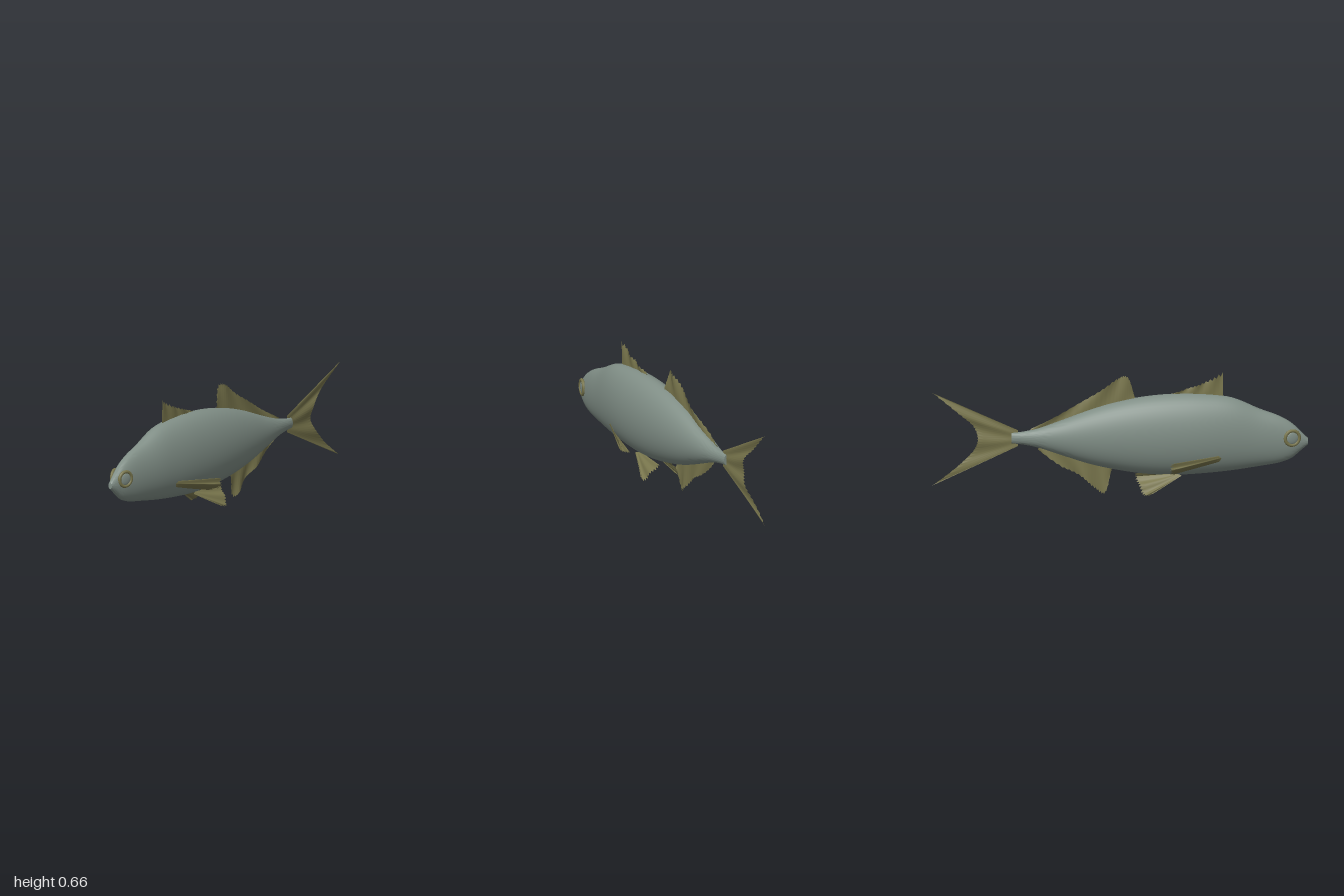
import * as THREE from 'three';
import { toCreasedNormals } from 'three/addons/utils/BufferGeometryUtils.js';

const bodyMat = new THREE.MeshStandardMaterial({ color: 0x808e86 });
bodyMat.name = 'greyGreenSkin';
const finMat = new THREE.MeshStandardMaterial({ color: 0x78754c, side: THREE.DoubleSide });
finMat.name = 'oliveFin';

function add(group, name, geometry, material) {
  const mesh = new THREE.Mesh(geometry, material);
  mesh.name = name;
  group.add(mesh);
  return mesh;
}

// Body stations: x, top, bottom, half width
const stations = [
  [-1.0, 0.295, 0.262, 0.012], [-0.96, 0.335, 0.228, 0.026], [-0.91, 0.382, 0.188, 0.04],
  [-0.84, 0.422, 0.163, 0.053], [-0.74, 0.46, 0.147, 0.07], [-0.6, 0.52, 0.127, 0.093],
  [-0.45, 0.541, 0.113, 0.11], [-0.3, 0.544, 0.106, 0.117], [-0.15, 0.533, 0.113, 0.116],
  [0.0, 0.507, 0.135, 0.107], [0.15, 0.465, 0.169, 0.09], [0.3, 0.41, 0.218, 0.065],
  [0.42, 0.369, 0.259, 0.041], [0.5, 0.35, 0.277, 0.024], [0.57, 0.342, 0.286, 0.014],
];

// Elliptical sections lofted along x by reshaping a cylinder
function bodyGeometry() {
  const [top, bottom, width] = [1, 2, 3].map(
    (k) => new THREE.SplineCurve(stations.map((s) => new THREE.Vector2(s[0], s[k]))));
  const geo = new THREE.CylinderGeometry(1, 1, 1, 48, 70);
  const p = geo.attributes.position;
  for (let i = 0; i < p.count; i++) {
    const t = THREE.MathUtils.clamp(p.getY(i) + 0.5, 0, 1);
    const a = top.getPoint(t), b = bottom.getPoint(t), w = width.getPoint(t).y;
    p.setXYZ(i, a.x, (a.y + b.y) / 2 + p.getX(i) * (a.y - b.y) / 2, -p.getZ(i) * w);
  }
  return toCreasedNormals(geo, 0.8);
}

// Rippled sheet from a root line to a ragged tip line
function finGeometry(root, tip, { rays = 36, ripple = 0.006, rag = 0.06, side = 1, dir = [0, 0, 1] } = {}) {
  const curve = (pts) => new THREE.CatmullRomCurve3(
    pts.map(([x, y, z = 0]) => new THREE.Vector3(x, y, z * side)));
  const a = curve(root), b = curve(tip), rows = 6;
  const push = new THREE.Vector3(dir[0], dir[1], dir[2] * side);
  const geo = new THREE.PlaneGeometry(1, 1, rays, rows);
  const p = geo.attributes.position, v = new THREE.Vector3();
  for (let i = 0; i < p.count; i++) {
    const col = i % (rays + 1), u = col / rays, t = Math.floor(i / (rays + 1)) / rows;
    const ragged = t === 1 && col % 2 ? 1 - rag : t;
    v.lerpVectors(a.getPoint(u), b.getPoint(u), ragged);
    const wave = Math.sin(u * 17 + t * 2) * t + (col % 2 ? 0.3 : -0.3) * t;
    v.addScaledVector(push, wave * ripple);
    p.setXYZ(i, v.x, v.y, v.z);
  }
  geo.computeVertexNormals();
  return geo;
}

export function createModel() {
  const fish = new THREE.Group();
  fish.name = 'fish';
  add(fish, 'body', bodyGeometry(), bodyMat);

  // Fins on the centre line
  add(fish, 'firstDorsalFin', finGeometry(
    [[-0.55, 0.52], [-0.46, 0.53], [-0.38, 0.53], [-0.28, 0.53]],
    [[-0.55, 0.66], [-0.46, 0.61], [-0.38, 0.58], [-0.28, 0.547]],
    { rays: 24, rag: 0.14 }), finMat);
  add(fish, 'secondDorsalFin', finGeometry(
    [[-0.09, 0.5], [-0.04, 0.5], [0.03, 0.48], [0.13, 0.455], [0.28, 0.4], [0.46, 0.345]],
    [[-0.085, 0.525], [-0.04, 0.647], [0.01, 0.63], [0.12, 0.555], [0.28, 0.46], [0.47, 0.362]],
    { rays: 44, ripple: 0.008, rag: 0.07 }), finMat);
  add(fish, 'analFin', finGeometry(
    [[0.035, 0.155], [0.07, 0.16], [0.12, 0.175], [0.2, 0.2], [0.3, 0.235], [0.42, 0.275]],
    [[0.04, 0.13], [0.08, 0.005], [0.13, 0.035], [0.2, 0.1], [0.3, 0.152], [0.43, 0.25]],
    { rays: 40, ripple: 0.008 }), finMat);
  add(fish, 'tailFin', finGeometry(
    [[0.535, 0.357], [0.535, 0.335], [0.535, 0.315], [0.535, 0.295], [0.535, 0.27]],
    [[0.99, 0.565], [0.85, 0.45], [0.77, 0.375], [0.75, 0.31], [0.77, 0.25], [0.85, 0.17], [0.99, 0.06]],
    { rays: 48, rag: 0.025 }), finMat);

  // Paired fins and eyes
  for (const [label, side] of [['left', 1], ['right', -1]]) {
    add(fish, label + 'PectoralFin', finGeometry(
      [[-0.555, 0.228, 0.078], [-0.558, 0.215, 0.077], [-0.555, 0.198, 0.074]],
      [[-0.262, 0.203, 0.178], [-0.258, 0.165, 0.178], [-0.262, 0.142, 0.145], [-0.28, 0.132, 0.105]],
      { rays: 24, ripple: 0.005, side, dir: [0, 0.7, 0.7] }), finMat);
    add(fish, label + 'PelvicFin', finGeometry(
      [[-0.3, 0.12, 0.03], [-0.315, 0.115, 0.037], [-0.33, 0.11, 0.045]],
      [[-0.08, 0.105, 0.035], [-0.1, 0.062, 0.078], [-0.125, 0.017, 0.108], [-0.165, 0.022, 0.104]],
      { rays: 24, ripple: 0.004, side, dir: [0, 0.6, 0.8] }), finMat);

    const eye = new THREE.Group();
    eye.name = label + 'Eye';
    eye.position.set(-0.915, 0.305, 0.037 * side);
    eye.rotation.y = -0.27 * side;
    add(eye, 'eyeRing', new THREE.TorusGeometry(0.039, 0.009, 10, 36), finMat);
    add(eye, 'eyeball', new THREE.SphereGeometry(0.034, 24, 16), bodyMat).scale.z = 0.25;
    fish.add(eye);
  }
  return fish;
}
